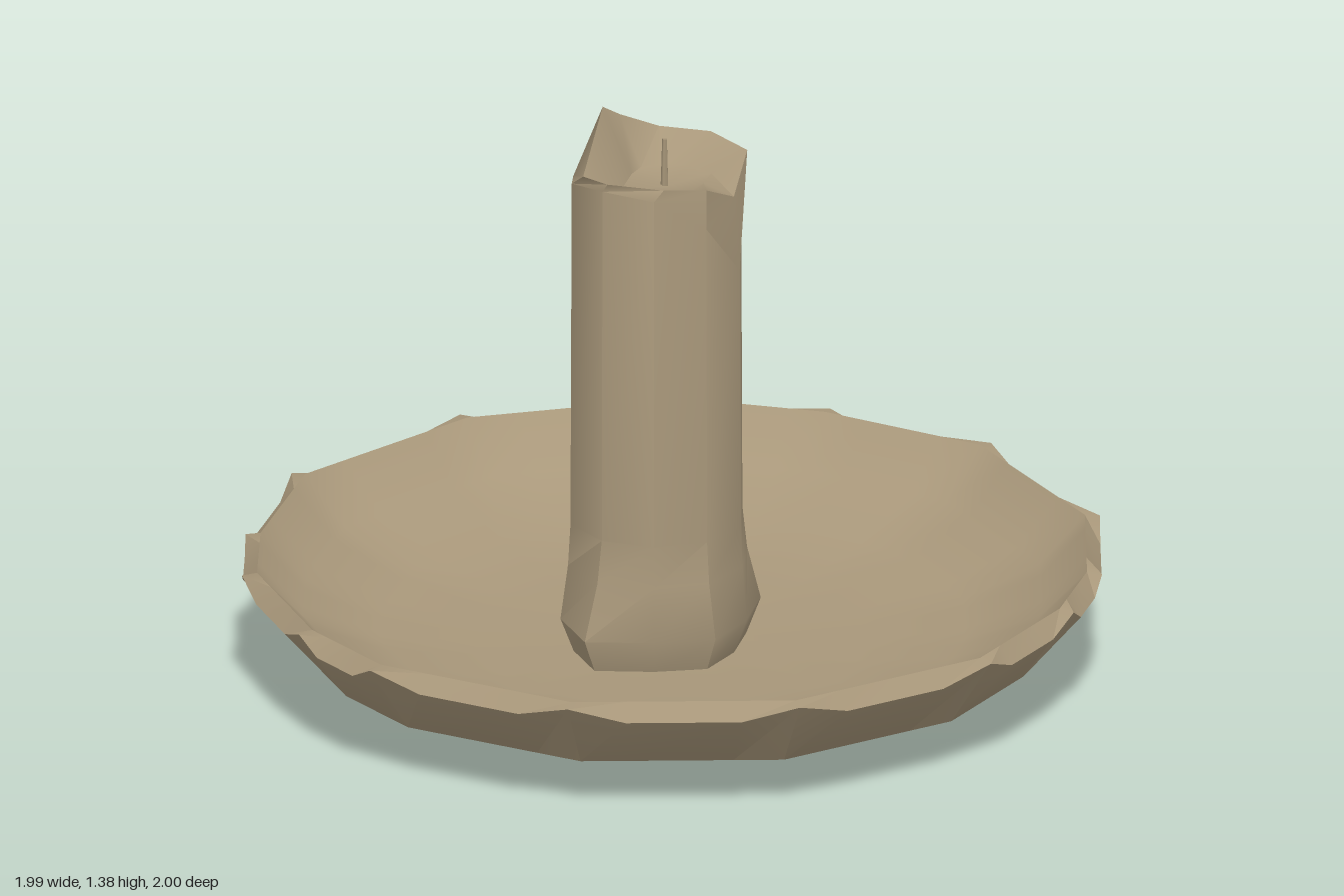
import * as THREE from 'three';
import { toCreasedNormals } from 'three/addons/utils/BufferGeometryUtils.js';

// Skin a list of closed rings (each an array of Vector3) running bottom to top.
function loft(rings, crease) {
  const n = rings[0].length, pos = [];
  const tri = (a, b, c) => {
    if (a.distanceTo(b) < 1e-6 || b.distanceTo(c) < 1e-6 || a.distanceTo(c) < 1e-6) return;
    for (const p of [a, b, c]) pos.push(p.x, p.y, p.z);
  };
  for (let i = 0; i < rings.length - 1; i++) {
    for (let j = 0; j < n; j++) {
      const k = (j + 1) % n;
      const a = rings[i][j], b = rings[i][k], c = rings[i + 1][j], d = rings[i + 1][k];
      tri(a, c, b);
      tri(b, c, d);
    }
  }
  const geometry = new THREE.BufferGeometry();
  geometry.setAttribute('position', new THREE.Float32BufferAttribute(pos, 3));
  return toCreasedNormals(geometry, crease);
}

// Uneven, hand-cut outline of the dish: x, z corners
const OUTLINE = [
  [0.99, 0.03], [0.92, 0.40], [0.60, 0.81], [0.10, 1.00], [-0.41, 0.92],
  [-0.64, 0.76], [-0.89, 0.45], [-0.97, 0.20], [-1.00, -0.20], [-0.76, -0.68],
  [-0.33, -0.97], [0.03, -1.00], [0.45, -0.92], [0.84, -0.57], [0.97, -0.22],
];

function dishGeometry() {
  // Each side has a corner and two points along the edge, where the lip is cut lower
  const edge = [];
  OUTLINE.forEach(([x, z], i) => {
    const [x2, z2] = OUTLINE[(i + 1) % OUTLINE.length];
    for (const t of [0, 0.25, 0.75]) {
      edge.push({ x: x + (x2 - x) * t, z: z + (z2 - z) * t, corner: t === 0 });
    }
  });
  const ring = (scale, y, yCorner = y) =>
    edge.map((e) => new THREE.Vector3(e.x * scale, e.corner ? yCorner : y, e.z * scale));
  return loft([
    ring(0, 0), ring(0.53, 0), ring(0.875, 0.12), ring(1, 0.26, 0.295), // underside
    ring(0.965, 0.3), // lip
    ring(0.86, 0.19), ring(0.68, 0.12), ring(0.45, 0.09), ring(0, 0.085), // bowl
  ], 0.62);
}

// Broken top of the candle: x, y, z of the rim and height of the shoulder below it
const RIM = [
  [0.15, 1.20, 0.00, 1.03], [0.13, 1.26, 0.13, 1.17], [0.05, 1.275, 0.20, 1.25],
  [-0.08, 1.28, 0.22, 1.26], [-0.15, 1.28, 0.19, 1.24], [-0.17, 1.38, 0.00, 1.21],
  [-0.16, 1.33, -0.09, 1.22], [-0.09, 1.285, -0.16, 1.24], [0.03, 1.28, -0.18, 1.25],
  [0.14, 1.27, -0.12, 1.21],
];
// Uneven radii of the melted foot
const FOOT = [0.22, 0.24, 0.22, 0.27, 0.23, 0.21, 0.22, 0.24, 0.28, 0.25];

function candleGeometry() {
  const cx = -0.03, cz = 0.025;
  const ring = (radius, height) => RIM.map((p, i) => {
    const a = (i / RIM.length) * Math.PI * 2;
    const r = radius(i);
    return new THREE.Vector3(cx + Math.cos(a) * r, height(i), cz + Math.sin(a) * r);
  });
  const rim = (scale, height) => RIM.map((p) =>
    new THREE.Vector3(-0.01 + (p[0] + 0.01) * scale, height ?? p[1], 0.01 + (p[2] - 0.01) * scale));
  return loft([
    ring((i) => FOOT[i] * 0.85, () => 0.08),
    ring((i) => FOOT[i], () => 0.17),
    ring((i) => 0.206 + (FOOT[i] - 0.206) * 0.25, () => 0.3),
    ring(() => 0.206, () => 0.4),
    ring(() => 0.203, (i) => RIM[i][3]),
    rim(1),
    rim(0.55, 1.225), // melted hollow
    rim(0, 1.21),
  ], 0.64);
}

export function createModel() {
  const group = new THREE.Group();
  const clay = new THREE.MeshStandardMaterial({ color: 0xa8977a });
  clay.name = 'tan wax';

  const add = (name, geometry) => {
    const mesh = new THREE.Mesh(geometry, clay);
    mesh.name = name;
    group.add(mesh);
    return mesh;
  };

  add('dish', dishGeometry());
  add('candle', candleGeometry());

  // Thin tapered wick
  const wick = add('wick', new THREE.CylinderGeometry(0.006, 0.01, 0.13, 5));
  wick.position.set(-0.015, 1.26, 0.01);

  return group;
}
